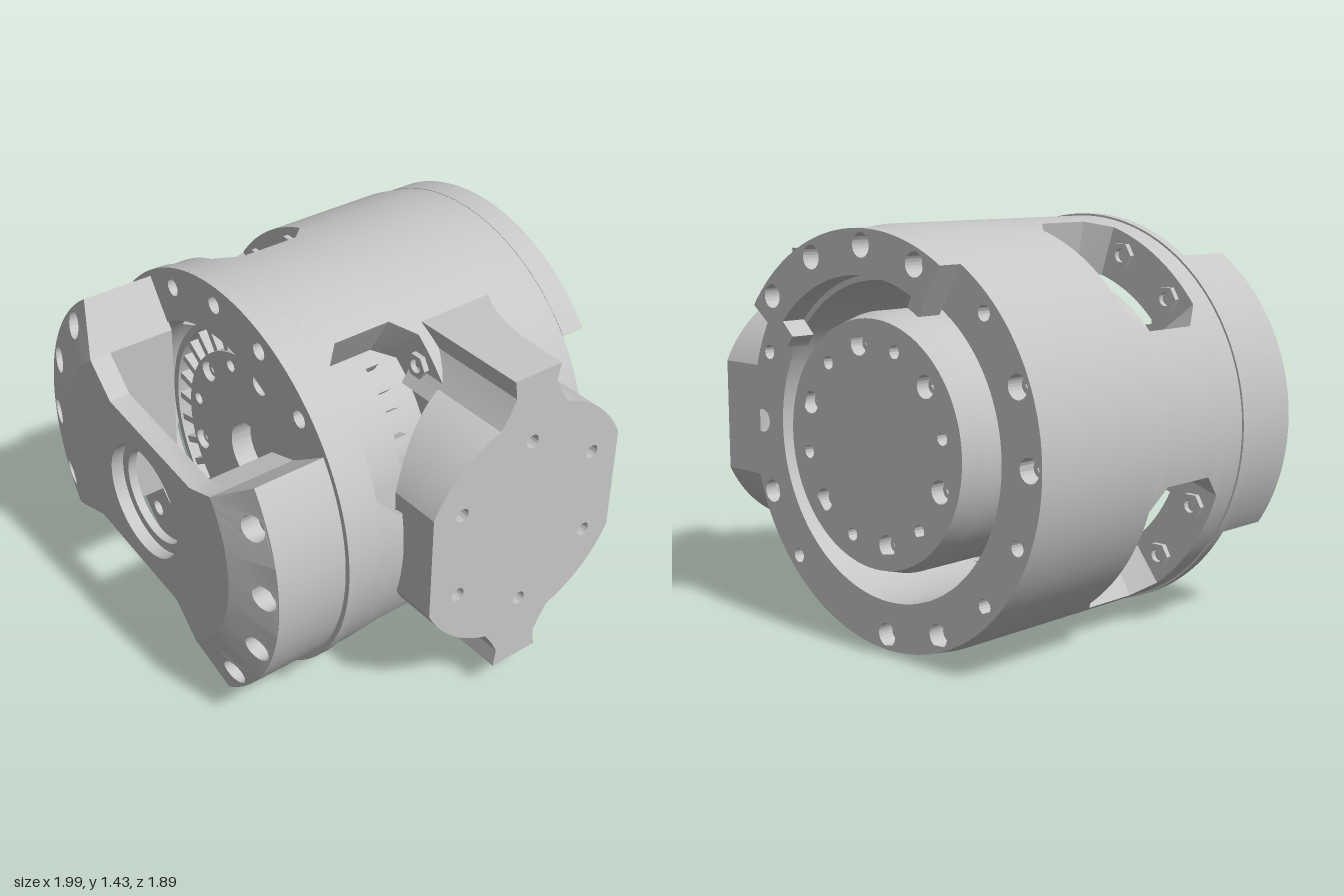
import * as THREE from 'three';
import { toCreasedNormals } from 'three/addons/utils/BufferGeometryUtils.js';

const D = Math.PI / 180;
const polar = (r, deg) => [r * Math.cos(deg * D), r * Math.sin(deg * D)];

// shape helpers, angles in degrees
function addHoles(shape, list) {
  for (const [x, y, r] of list) {
    const p = new THREE.Path();
    p.absarc(x, y, r, 0, Math.PI * 2, true);
    shape.holes.push(p);
  }
  return shape;
}
function disc(r, holes = []) {
  const s = new THREE.Shape();
  s.absarc(0, 0, r, 0, Math.PI * 2, false);
  return addHoles(s, holes);
}
const ring = (r0, r1, holes = []) => disc(r1, [[0, 0, r0], ...holes]);
function sector(r0, r1, d0, d1, holes = []) {
  const s = new THREE.Shape();
  s.absarc(0, 0, r1, d0 * D, d1 * D, false);
  s.absarc(0, 0, r0, d1 * D, d0 * D, true);
  s.closePath();
  return addHoles(s, holes);
}

export function createModel() {
  const metal = new THREE.MeshStandardMaterial({ color: 0xc6c6c6 });
  metal.name = 'light grey metal';
  const root = new THREE.Group();
  root.name = 'actuatorHousing';

  // local z is the housing axis, turned 45 degrees in the ground plane
  const body = new THREE.Group();
  body.name = 'housingAssembly';
  body.rotation.y = -Math.PI / 4;
  body.position.set(-0.028, 0.717, -0.028);
  root.add(body);

  function add(name, geo, parent = body) {
    const m = new THREE.Mesh(geo, metal);
    m.name = name;
    parent.add(m);
    return m;
  }
  // extrudes a shape from z0 to z1; warp may move each vertex, t runs 0..1
  function prism(name, shape, z0, z1, { warp, steps = 1, segs = 48, parent = body } = {}) {
    const g = new THREE.ExtrudeGeometry(shape, { depth: z1 - z0, bevelEnabled: false, curveSegments: segs, steps });
    g.translate(0, 0, z0);
    if (warp) {
      const p = g.attributes.position, v = new THREE.Vector3();
      for (let i = 0; i < p.count; i++) {
        v.fromBufferAttribute(p, i);
        warp(v, (v.z - z0) / (z1 - z0));
        p.setXYZ(i, v.x, v.y, v.z);
      }
    }
    return add(name, toCreasedNormals(g, 0.45), parent);
  }
  // screw head with a hexagonal socket
  function bolt(name, x, y, z0, z1, r) {
    const s = disc(r), hex = new THREE.Path();
    for (let i = 0; i < 6; i++) hex[i ? 'lineTo' : 'moveTo'](...polar(r * 0.5, -60 * i));
    hex.closePath();
    s.holes.push(hex);
    prism(name, s, z0, z1, { segs: 10 }).position.set(x, y, 0);
  }

  // rear ring with counterbored and plain holes
  const R = 0.707, Ri = 0.53;
  const rearBig = [0, -22.5, 157.5, 180, 247.5, 270].map(a => [...polar(0.645, a), 0.04]);
  const rearSmall = [22.5, 135, 202.5, 225, 315].map(a => [...polar(0.645, a), 0.025]);
  prism('rearRing', ring(Ri, R, [...rearBig, ...rearSmall]), -0.6, -0.52, {
    segs: 96,
    warp: (v, t) => { if (t < 0.5 && Math.hypot(v.x, v.y) > 0.7) { v.x *= 0.985; v.y *= 0.985; } },
  });
  prism('rearShell', ring(Ri, R), -0.52, -0.07, { segs: 96 });
  rearBig.forEach(([x, y]) => bolt('rearScrew', x, y, -0.55, -0.52, 0.03));

  // raised arc on top of the rear ring, with two inward end lugs
  const arcHoles = [45, 67.5, 90, 112.5].map(a => [...polar(0.645, a), 0.04]);
  prism('raisedRearArc', sector(0.55, 0.698, 37, 121, arcHoles), -0.69, -0.6);
  arcHoles.forEach(([x, y]) => bolt('rearArcScrew', x, y, -0.63, -0.6, 0.03));
  for (const [d0, d1, r0] of [[37, 43, 0.48], [115, 121, 0.51]])
    prism('rearArcLug', sector(r0, 0.551, d0, d1), -0.69, -0.6);

  // four pillars between the windows, flared for the chamfered corners
  for (let k = 0; k < 4; k++) {
    const pillar = prism('windowPillar', sector(Ri, R, -21, 21), -0.07, 0.29, {
      steps: 5,
      warp: (v, t) => {
        if (t > 0.01 && t < 0.99) return;
        const r = Math.hypot(v.x, v.y), a = Math.atan2(v.y, v.x) * 1.3;
        v.x = r * Math.cos(a); v.y = r * Math.sin(a);
      },
    });
    pillar.rotation.z = (80 + 90 * k) * D;
    // hex nuts on both end walls of the window
    for (const off of [-11, 11]) {
      const [x, y] = polar(0.635, 35 + 90 * k + off);
      const nut = new THREE.Shape();
      for (let i = 0; i < 6; i++) nut[i ? 'lineTo' : 'moveTo'](...polar(0.045, 60 * i));
      nut.closePath();
      addHoles(nut, [[0, 0, 0.024]]);
      for (const z of [-0.07, 0.27])
        prism('hexNut', nut, z, z + 0.02, { segs: 8 }).position.set(x, y, 0);
    }
  }

  // front flange
  const flangeHoles = [...Array(16).keys()].map(i => [...polar(0.645, 22.5 * i), 0.03]);
  prism('frontShell', ring(Ri, R), 0.29, 0.385, { segs: 96 });
  prism('frontFlange', ring(Ri, 0.714, flangeHoles), 0.385, 0.424, { segs: 96 });

  // inner drum with rear hub, wide band, front cover and radial vanes
  const hubHoles = [];
  for (let i = 0; i < 12; i++) hubHoles.push([...polar(0.33, 79 + 30 * i), i % 2 ? 0.022 : 0.038]);
  prism('rearHub', disc(0.43, hubHoles), -0.65, -0.58, {
    warp: (v, t) => { if (t < 0.5 && Math.hypot(v.x, v.y) > 0.42) { v.x *= 0.955; v.y *= 0.955; } },
  });
  prism('innerDrum', disc(0.43), -0.58, 0.22);
  prism('drumBand', ring(0.42, 0.49), 0.03, 0.24);
  prism('drumRim', ring(0.465, 0.49), 0.24, 0.3);
  prism('frontCover', ring(0.12, 0.38, hubHoles), 0.22, 0.3);
  hubHoles.forEach(([x, y], i) => {
    if (i % 2) return;
    bolt('hubScrew', x, y, -0.61, -0.58, 0.028);
    bolt('coverScrew', x, y, 0.22, 0.28, 0.028);
  });
  for (let i = 0; i < 32; i++) {
    for (const z of [0, 0.255]) {
      const vane = add('coolingVane', new THREE.BoxGeometry(0.095, 0.025, 0.07));
      vane.position.set(...polar(0.425, 11.25 * i), z);
      vane.rotation.z = 11.25 * i * D;
    }
  }

  // front bridge plate with a central bore, the same after half a turn
  const bridge = new THREE.Shape();
  bridge.absarc(0, 0, 0.5, -56 * D, 33.5 * D, false);
  bridge.lineTo(0.3, 0.24);
  bridge.lineTo(-0.17, 0.31);
  bridge.absarc(0, 0, 0.5, 124 * D, 213.5 * D, false);
  bridge.lineTo(-0.3, -0.24);
  bridge.lineTo(0.17, -0.31);
  bridge.closePath();
  prism('bridgePlate', addHoles(bridge, [[0, 0, 0.205]]), 0.66, 0.735);
  prism('boreLip', ring(0.17, 0.206), 0.66, 0.69);

  // two side lobes carrying the bridge, with screws sunk in the sloping rim
  for (const turn of [0, 180]) {
    const core = new THREE.Shape();
    core.absarc(0, 0, 0.5, -56 * D, 33.5 * D, false);
    core.lineTo(0.3, 0.24);
    core.closePath();
    prism('lobeCore', core, 0.42, 0.66).rotation.z = turn * D;
    prism('lobeWall', sector(0.5, 0.695, -56, 33.5), 0.42, 0.6).rotation.z = turn * D;
    const cuts = [-56, -34, -11.5, 11.5, 33.5];
    for (let i = 0; i < 4; i++) {
      const mid = -45 + 22.5 * i;
      const hole = [...polar(0.638, mid), 0.046];
      prism('lobeRim', sector(0.5, 0.695, cuts[i], cuts[i + 1], [hole]), 0.6, 0.735, {
        segs: 24,
        warp: (v, t) => { if (t > 0.5) v.z -= (Math.hypot(v.x, v.y) - 0.5) * 0.28; },
      }).rotation.z = turn * D;
      bolt('lobeScrew', ...polar(0.638, mid + turn), 0.6, 0.65, 0.036);
    }
  }

  // side mount: local z points out sideways, local x runs to the rear
  const mount = new THREE.Group();
  mount.name = 'sideMount';
  mount.rotation.y = Math.PI / 2;
  mount.position.z = -0.2;
  body.add(mount);
  const padShape = () => {
    const s = new THREE.Shape();
    s.absarc(0, 0, 0.445, 26 * D, 154 * D, false);
    s.absarc(0, 0, 0.445, 206 * D, 334 * D, false);
    s.closePath();
    return s;
  };
  const padHoles = [...Array(6).keys()].map(i => [...polar(0.325, 30 + 60 * i), 0.025]);
  prism('mountFace', addHoles(padShape(), padHoles), 0.74, 0.845, { parent: mount });
  // the inner side of the block follows the shell
  prism('mountBlock', padShape(), 0.54, 0.74, {
    parent: mount,
    warp: (v, t) => { if (t < 0.5) v.z = Math.sqrt(R * R - v.y * v.y) - 0.02; },
  });

  // upper and lower mount ribs, flaring towards the shell
  const outline = [[-0.17, 0.38], [0.17, 0.38], [0.11, 0.47], [0.085, 0.52], [0.095, 0.585], [-0.095, 0.585], [-0.085, 0.52], [-0.11, 0.47]];
  for (const side of [1, -1]) {
    const pts = outline.map(([x, y]) => new THREE.Vector2(x, y * side));
    prism('mountRib', new THREE.Shape(pts), 0.4, 0.845, {
      parent: mount, steps: 8,
      warp: (v, t) => { if (v.x > 0) v.x *= 1 + (1 - t) ** 3; },
    });
  }
  return root;
}
